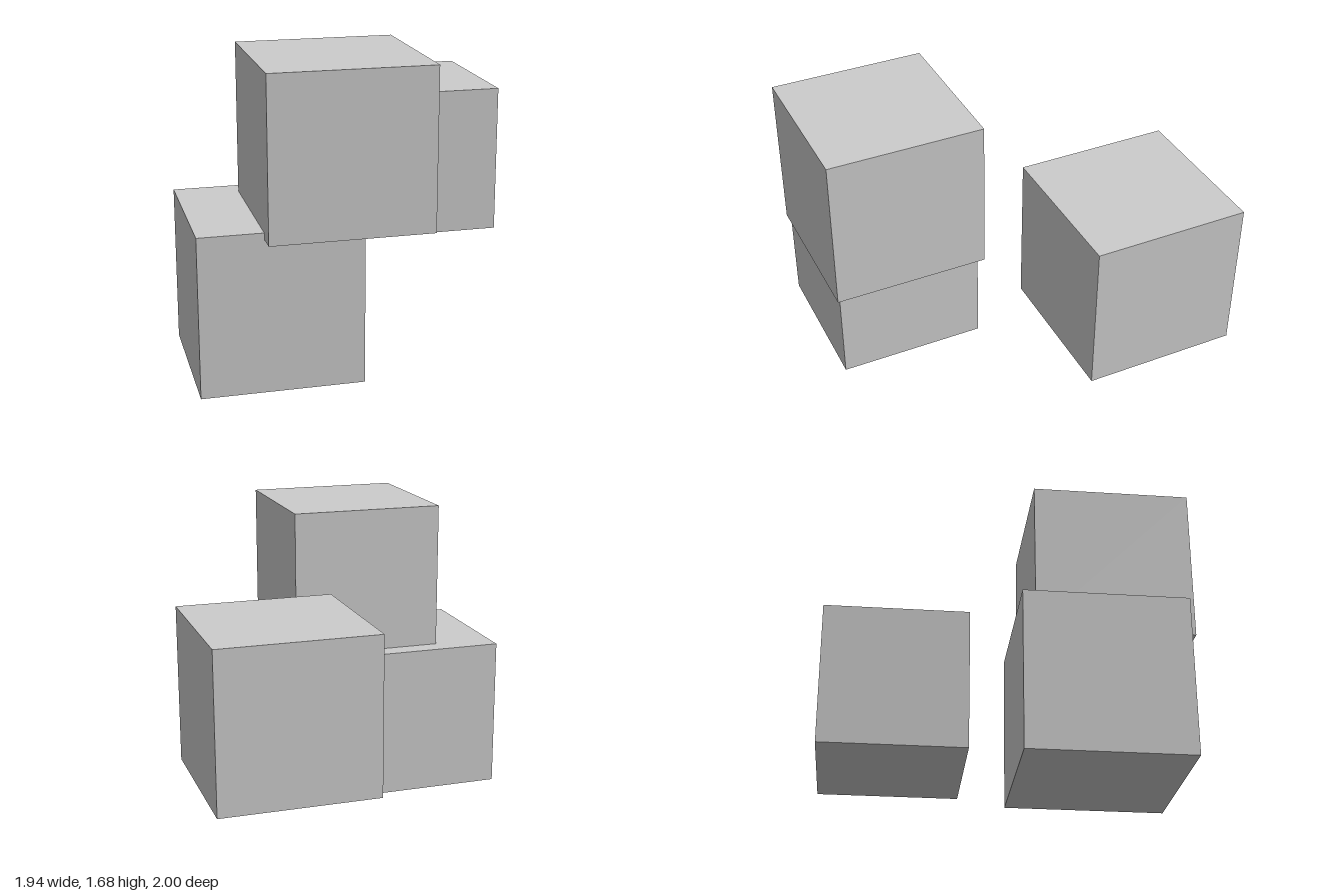
import * as THREE from 'three';

export function createModel() {
  const model = new THREE.Group();
  model.name = 'cubes';
  const size = 0.857;
  const geometry = new THREE.BoxGeometry(size, size, size);
  const material = new THREE.MeshStandardMaterial({ color: 0xcccccc });

  // Three equal cubes, each placed by its centre
  const cubes = [
    ['lowerCube', -0.54, size / 2, 0.459],
    ['upperCube', -0.201, 1.251, 0.5715],
    ['backCube', 0.54, 0.854, -0.5715],
  ];
  for (const [name, x, y, z] of cubes) {
    const cube = new THREE.Mesh(geometry, material);
    cube.name = name;
    cube.position.set(x, y, z);
    model.add(cube);
  }
  return model;
}
